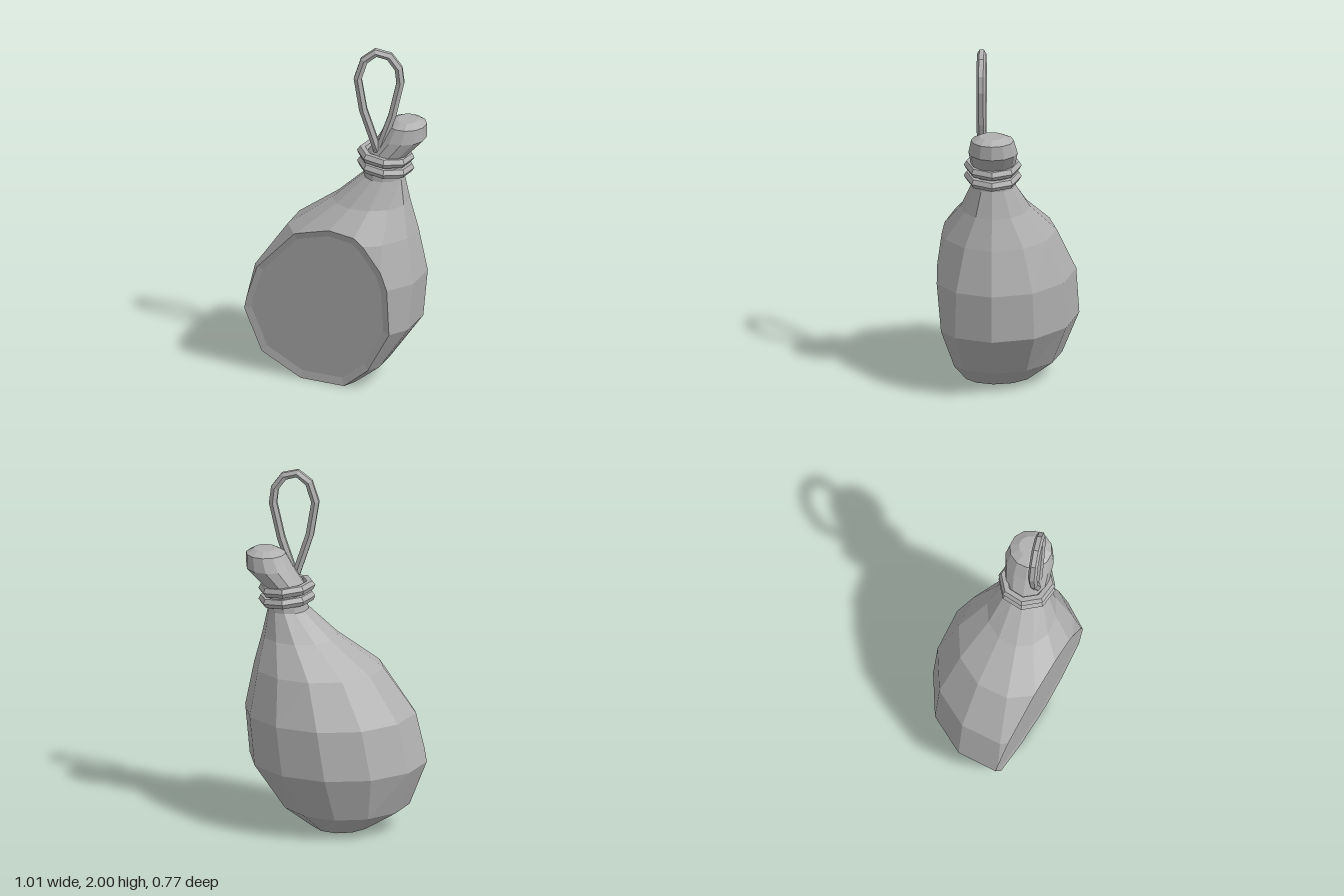
import * as THREE from 'three';

const SIDES = 12;
const CENTER_Z = 0.08;
// Slanted cut plane: z = CUT.a + CUT.b * x + CUT.c * y
const CUT = { a: 0.212, b: 0.357, c: 0.1 };
const cutDistance = (p) => p.z - (CUT.a + CUT.b * p.x + CUT.c * p.y);

// Rings: [y, centre x, radius x, back radius z, front radius z]
const BODY = [
  [0, -0.035, 0.17, 0.21, 0.185],
  [0.125, -0.055, 0.355, 0.37, 0.32],
  [0.375, -0.015, 0.495, 0.465, 0.405],
  [0.65, 0.03, 0.475, 0.45, 0.39],
  [0.9, 0.095, 0.36, 0.345, 0.3],
  [1.07, 0.195, 0.215, 0.205, 0.18],
  [1.22, 0.265, 0.113, 0.128, 0.12],
];
const NECK = [
  [1.22, 0.265, 0.113, 0.128, 0.12],
  [1.35, 0.285, 0.115, 0.125, 0.12],
  [1.45, 0.367, 0.132, 0.14, 0.13],
  [1.53, 0.39, 0.11, 0.12, 0.115],
  [1.555, 0.395, 0.062, 0.07, 0.07],
];

function ringPoints([y, cx, rx, back, front]) {
  return Array.from({ length: SIDES }, (_, i) => {
    const a = (i / SIDES) * Math.PI * 2;
    const s = Math.sin(a);
    return new THREE.Vector3(cx + rx * Math.cos(a), y, CENTER_Z + s * (s > 0 ? front : back));
  });
}

// Polygons skinning a stack of rings, with a bottom or top lid
function loft(profile, bottom, top) {
  const rings = profile.map(ringPoints);
  const polys = [];
  for (let r = 0; r < rings.length - 1; r++) {
    for (let i = 0; i < SIDES; i++) {
      const j = (i + 1) % SIDES;
      polys.push([rings[r][j], rings[r][i], rings[r + 1][i], rings[r + 1][j]]);
    }
  }
  if (bottom) polys.push(rings[0]);
  if (top) polys.push([...rings[rings.length - 1]].reverse());
  return polys;
}

// Keeps what lies behind the cut plane and gathers the points of the cut outline
function clip(polys) {
  const outline = [];
  const kept = polys.map((poly) => {
    const out = [];
    poly.forEach((p, i) => {
      const q = poly[(i + 1) % poly.length];
      const dp = cutDistance(p), dq = cutDistance(q);
      if (dp <= 0) out.push(p);
      if (dp <= 0 !== dq <= 0) {
        const hit = p.clone().lerp(q, dp / (dp - dq));
        out.push(hit);
        if (!outline.some((o) => o.distanceTo(hit) < 1e-4)) outline.push(hit);
      }
    });
    return out;
  }).filter((poly) => poly.length > 2);
  const centre = outline.reduce((s, p) => s.add(p), new THREE.Vector3()).divideScalar(outline.length);
  const angle = (p) => Math.atan2(p.y - centre.y, p.x - centre.x);
  outline.sort((p, q) => angle(p) - angle(q));
  return { kept, outline, centre };
}

function polygonGeometry(polys) {
  const pos = [];
  for (const poly of polys) {
    for (let i = 1; i < poly.length - 1; i++) {
      for (const p of [poly[0], poly[i], poly[i + 1]]) pos.push(p.x, p.y, p.z);
    }
  }
  const geo = new THREE.BufferGeometry();
  geo.setAttribute('position', new THREE.Float32BufferAttribute(pos, 3));
  geo.computeVertexNormals();
  return geo;
}

export function createModel() {
  const group = new THREE.Group();
  const grey = new THREE.MeshStandardMaterial({ color: 0xb0b0b0, flatShading: true });
  grey.name = 'grey';
  const add = (name, geo) => {
    const mesh = new THREE.Mesh(geo, grey);
    mesh.name = name;
    group.add(mesh);
    return mesh;
  };

  // Bulging body, sliced by the slanted plane
  const { kept, outline, centre } = clip(loft(BODY, true, false));
  add('body', polygonGeometry(kept));

  // Cut face with a slightly sunken middle
  const sink = new THREE.Vector3(CUT.b, CUT.c, -1).setLength(0.008);
  const inner = outline.map((p) => p.clone().lerp(centre, 0.09).add(sink));
  const rim = outline.map((p, i) => {
    const j = (i + 1) % outline.length;
    return [p, outline[j], inner[j], inner[i]];
  });
  add('cutRim', polygonGeometry(rim));
  add('cutFace', polygonGeometry([inner]));

  // Leaning neck and knob
  add('neckKnob', polygonGeometry(loft(NECK, false, true)));

  // Two cord wraps around the neck
  [1.34, 1.278].forEach((y, i) => {
    const wrap = add(`cordWrap${i + 1}`, new THREE.TorusGeometry(0.13, 0.029, 6, 8).rotateX(Math.PI / 2));
    wrap.position.set(0.273, y, CENTER_Z);
    wrap.rotation.z = -0.11;
  });

  // Hanging loop
  const path = [
    [0.25, 1.34], [0.155, 1.63], [0.125, 1.815], [0.16, 1.925], [0.225, 1.975],
    [0.3, 1.955], [0.35, 1.885], [0.36, 1.8], [0.315, 1.6], [0.225, 1.34],
  ];
  const curve = new THREE.CatmullRomCurve3(path.map(([x, y]) => new THREE.Vector3(x, y, 0.142)));
  // Sample exactly at the path points
  curve.getPointAt = curve.getPoint;
  curve.getTangentAt = curve.getTangent;
  add('hangingLoop', new THREE.TubeGeometry(curve, path.length - 1, 0.025, 6, false));

  return group;
}
